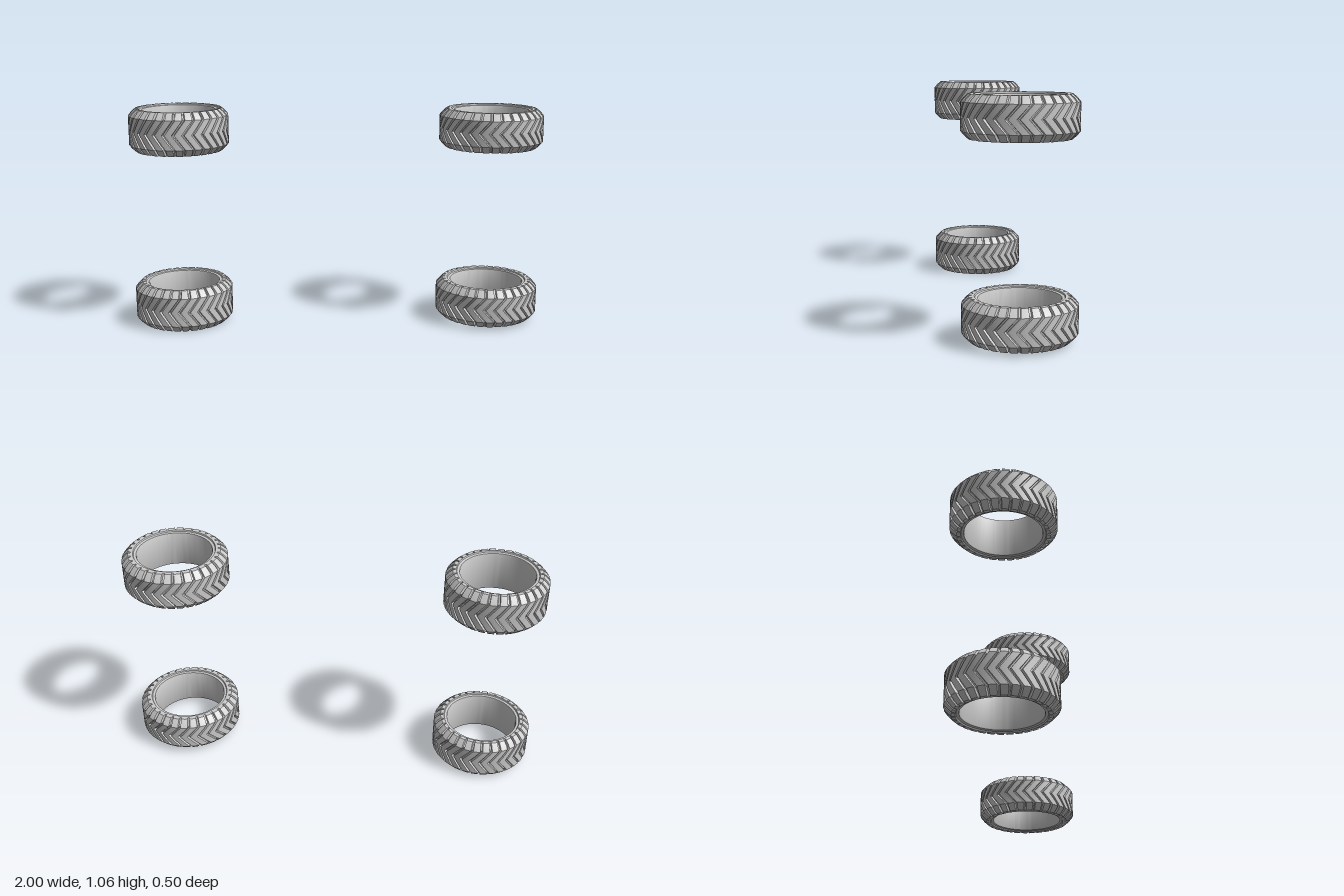
import * as THREE from 'three';
import { toCreasedNormals } from 'three/addons/utils/BufferGeometryUtils.js';

const LUGS = 32;
// One tread pitch: [phase, groove amount]
const PITCH = [[0, 0], [0.24, 0], [0.48, 0], [0.72, 0], [0.78, 1], [0.94, 1]];
const SWEEP = 0.22; // chevron lead of the tread centre, in radians
const GROOVE = 0.013;

// Closed cross-section, as rows of { r, y, dr, dy, shift }
function tyreSection(R, h, inner) {
  const shoulder = h - 0.033;
  const row = (r, y, dr = 0, dy = 0, shift = 0) => ({ r, y, dr, dy, shift });
  // Upper side: shoulder chamfer, notch end, sidewall, bead lip
  const side = [
    row(R - 0.014, h - 0.016, GROOVE, 0.006),
    row(R - 0.032, h, 0.008, 0.010),
    row(R - 0.045, h),
    row(inner + 0.017, h),
    row(inner + 0.014, h - 0.006),
    row(inner + 0.002, h - 0.008),
    row(inner, h - 0.013),
  ];
  const lower = side.map(s => ({ ...s, y: -s.y, dy: -s.dy })).reverse();
  // Tread band with the chevron sweep
  const tread = [];
  for (let i = -5; i <= 5; i++) {
    const t = i / 5;
    tread.push(row(R, t * shoulder, GROOVE, 0, SWEEP * (1 - Math.abs(t))));
  }
  return [...lower, ...tread, ...side];
}

function tyreGeometry(R, h, inner) {
  const section = tyreSection(R, h, inner);
  const rows = section.length;
  const cols = LUGS * PITCH.length;
  const positions = [];
  const index = [];
  for (let c = 0; c < cols; c++) {
    const [phase, cut] = PITCH[c % PITCH.length];
    const base = (Math.floor(c / PITCH.length) + phase) / LUGS * Math.PI * 2;
    section.forEach((s, j) => {
      const r = s.r - s.dr * cut;
      const a = base + s.shift;
      positions.push(r * Math.cos(a), s.y - s.dy * cut, r * Math.sin(a));
      const j2 = (j + 1) % rows;
      const c2 = (c + 1) % cols;
      const p = c * rows + j, up = c * rows + j2;
      const next = c2 * rows + j, nextUp = c2 * rows + j2;
      index.push(p, up, next, up, nextUp, next);
    });
  }
  const geometry = new THREE.BufferGeometry();
  geometry.setAttribute('position', new THREE.Float32BufferAttribute(positions, 3));
  geometry.setIndex(index);
  return toCreasedNormals(geometry, 0.45);
}

export function createModel() {
  const model = new THREE.Group();
  model.name = 'tyreSet';
  const material = new THREE.MeshStandardMaterial({ color: 0xcccccc });

  // A wide pair on the right and a narrower, larger pair on the left
  const pairs = [
    { name: 'rightTyre', x: -0.762, R: 0.238, h: 0.1025, inner: 0.172, levels: [0.1025, 0.9575] },
    { name: 'leftTyre', x: 0.75, R: 0.25, h: 0.0935, inner: 0.177, levels: [0.1035, 0.9585] },
  ];
  for (const { name, x, R, h, inner, levels } of pairs) {
    const geometry = tyreGeometry(R, h, inner);
    levels.forEach((y, i) => {
      const tyre = new THREE.Mesh(geometry, material);
      tyre.name = name + (i ? 'Upper' : 'Lower');
      tyre.position.set(x, y, 0);
      model.add(tyre);
    });
  }
  return model;
}
